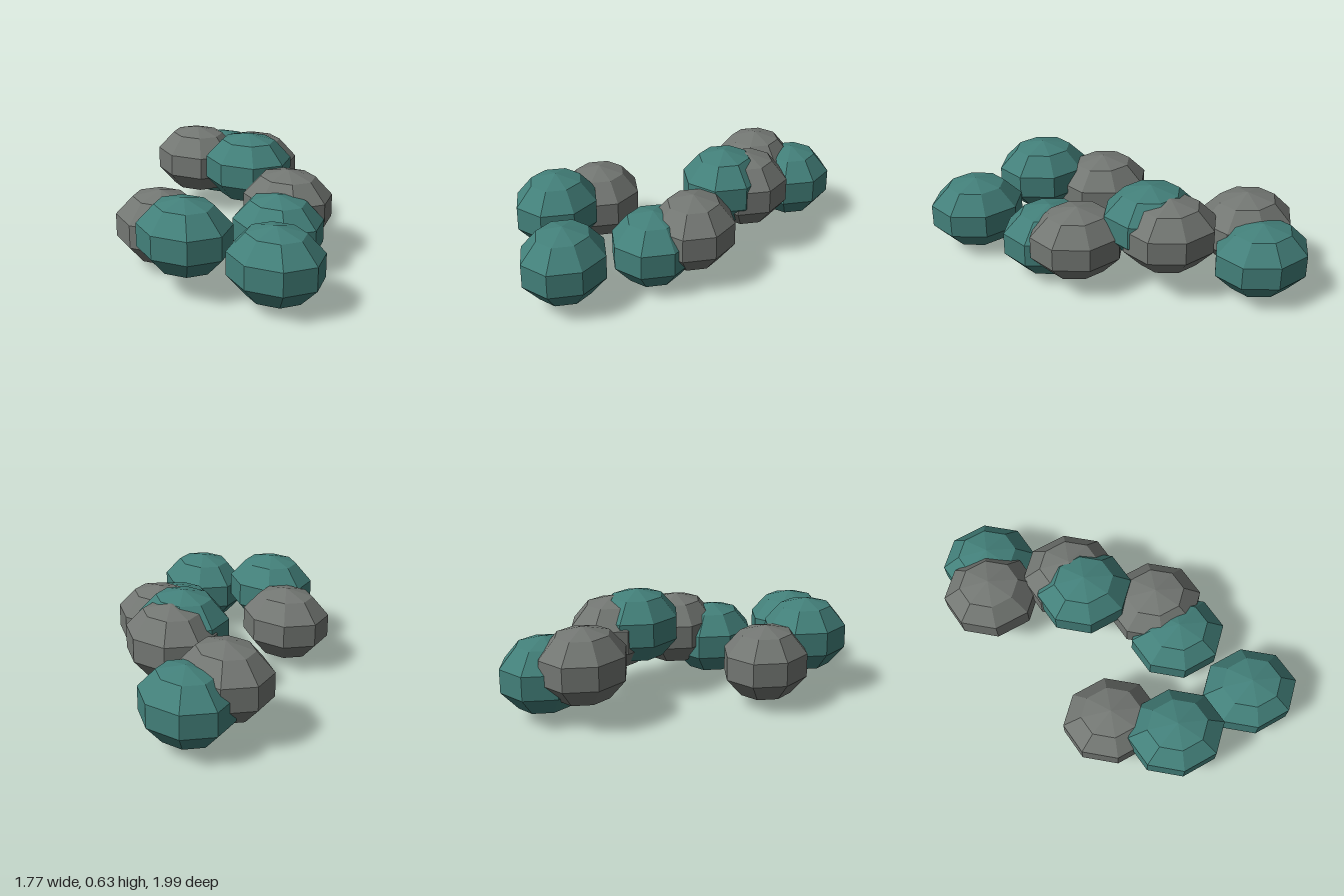
import * as THREE from 'three';

// Half-axes of one faceted stone
const RADII = [0.258, 0.22, 0.297];

// Stone centres: x, y, z
const TEAL = [
  [-0.64, 0.335, 0.227],
  [-0.44, 0.248, 0.71],
  [-0.02, 0.222, 0.36],
  [0.29, 0.415, -0.16],
  [0.637, 0.253, -0.708],
];
const GREY = [
  [-0.483, 0.25, -0.128],
  [0.19, 0.295, 0.252],
  [0.42, 0.38, -0.23],
  [0.396, 0.33, -0.718],
];

export function createModel() {
  const model = new THREE.Group();
  model.name = 'stoneCluster';

  // Shared low-poly ellipsoid: eight sides, five bands
  const geometry = new THREE.SphereGeometry(1, 8, 5).scale(...RADII);

  const addStones = (name, color, centres) => {
    const material = new THREE.MeshStandardMaterial({ color, flatShading: true });
    centres.forEach((centre, i) => {
      const stone = new THREE.Mesh(geometry, material);
      stone.name = `${name}${i + 1}`;
      stone.position.set(...centre);
      model.add(stone);
    });
  };

  addStones('tealStone', 0x43807a, TEAL);
  addStones('greyStone', 0x737773, GREY);
  return model;
}
